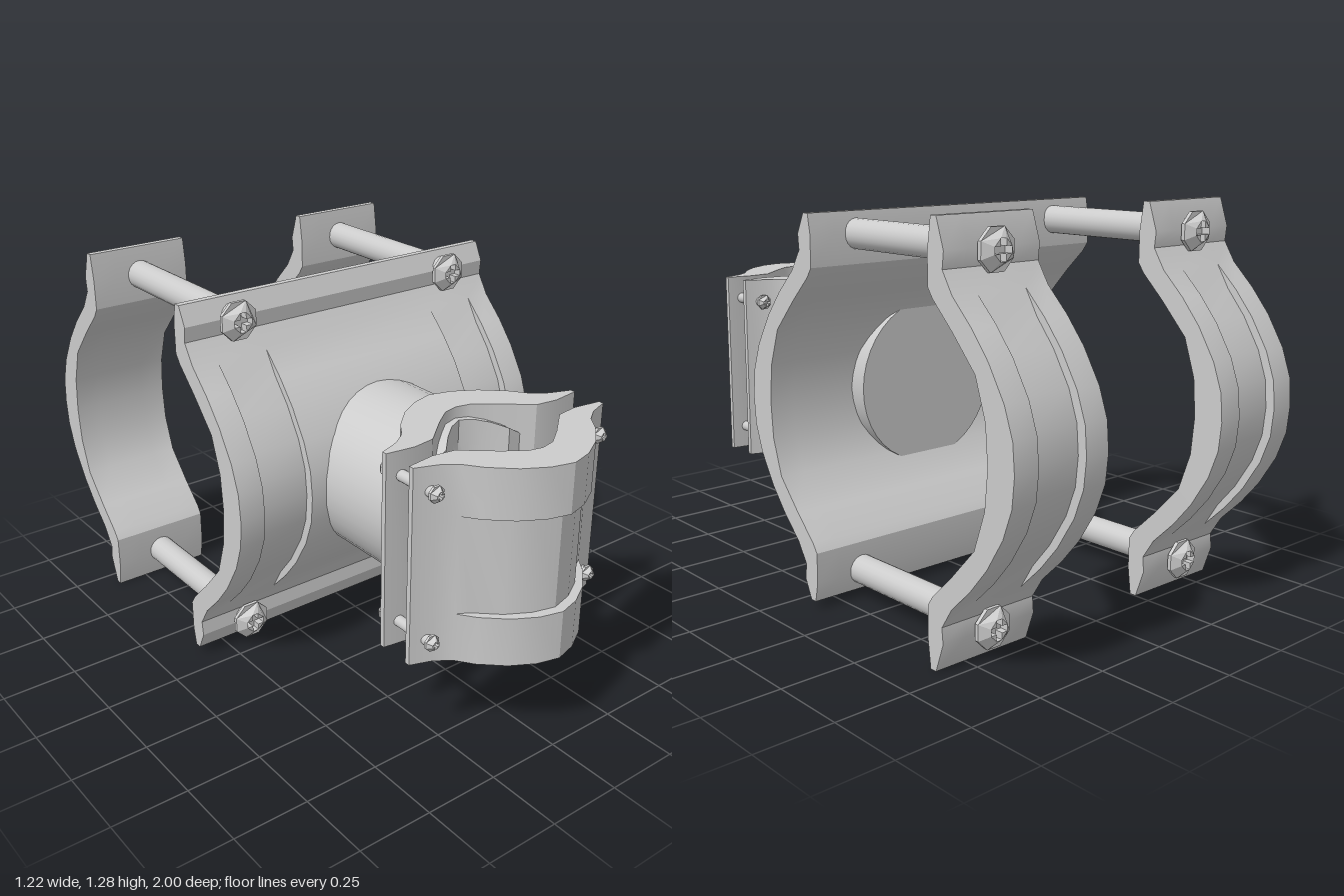
import * as THREE from 'three';
import { mergeGeometries, toCreasedNormals } from 'three/addons/utils/BufferGeometryUtils.js';

const MID = 0.642; // height of both clamp centres
const grey = new THREE.MeshStandardMaterial({ color: 0xcccccc, side: THREE.DoubleSide });

function add(group, name, geometry, x = 0, y = 0, z = 0) {
  const mesh = new THREE.Mesh(geometry, grey);
  mesh.name = name;
  mesh.position.set(x, y, z);
  group.add(mesh);
  return mesh;
}

// Half profiles as [span, outward] points, centre to tip (outer) and tip to centre (inner)
const bigProfile = (tip) => ({
  outer: [[0, 0.22], [0.09, 0.212], [0.18, 0.18], [0.28, 0.12], [0.36, 0.055], [0.435, -0.02],
    [0.5, -0.06], [0.55, -0.055], [tip, -0.085]],
  inner: [[tip, -0.108], [0.55, -0.12], [0.45, -0.12], [0.42, -0.1], [0.34, -0.02], [0.24, 0.07],
    [0.12, 0.11], [0, 0.12]],
  grooveEnd: 0.43,
});
const smallProfile = {
  outer: [[0, 0.998], [0.075, 0.978], [0.15, 0.935], [0.22, 0.87], [0.26, 0.815], [0.31, 0.78], [0.38, 0.755]],
  inner: [[0.38, 0.738], [0.286, 0.725], [0.21, 0.735], [0.115, 0.815], [0.05, 0.862], [0, 0.873]],
  grooveEnd: 0.25,
};

// One slice of a clamp; inset sinks the bulged outside to form a groove
function slice({ outer, inner, grooveEnd }, from, to, inset) {
  const half = outer.map(([u, w]) => [u, u < grooveEnd ? w - inset : w]).concat(inner);
  const mirrored = half.slice(1, -1).reverse().map(([u, w]) => [-u, w]);
  // outer tip to tip, then the inside back again
  const n = outer.length;
  const loop = [...half, ...mirrored];
  const shape = new THREE.Shape(loop.map(([u, w]) => new THREE.Vector2(u, w)));
  const g = new THREE.ExtrudeGeometry(shape, { depth: to - from, bevelEnabled: false, steps: 1 });
  g.translate(0, 0, from);
  return g;
}

// Clamp half made of [from, to, inset] slices; flip turns its bulge to the back
function clamp(profile, slices, flip, upright) {
  const g = mergeGeometries(slices.map(([a, b, inset]) => slice(profile, a, b, inset)));
  g.rotateX(flip ? -Math.PI / 2 : Math.PI / 2);
  if (upright) g.rotateZ(Math.PI / 2);
  return toCreasedNormals(g, 0.5);
}

// Domed eight-sided head with a cross recess, facing +z
function headGeometry(r, depth) {
  const shape = new THREE.Shape();
  for (let i = 0; i < 8; i++) {
    const a = (i + 0.5) * Math.PI / 4;
    shape[i ? 'lineTo' : 'moveTo'](r * Math.cos(a), r * Math.sin(a));
  }
  const l = r * 0.48, s = r * 0.16;
  const cross = [[l, s], [s, s], [s, l], [-s, l], [-s, s], [-l, s], [-l, -s], [-s, -s],
    [-s, -l], [s, -l], [s, -s], [l, -s]];
  shape.holes.push(new THREE.Path(cross.map(([x, y]) => new THREE.Vector2(x, y))));
  const g = new THREE.ExtrudeGeometry(shape, { depth, bevelEnabled: false });
  const p = g.attributes.position;
  for (let i = 0; i < p.count; i++) {
    if (p.getZ(i) > 0 && Math.hypot(p.getX(i), p.getY(i)) > r * 0.8) p.setZ(i, depth * 0.35);
  }
  g.computeVertexNormals();
  return g;
}

// Bolt along z with a head at both ends
function bolt(name, shaftR, headR, headDepth, front, back) {
  const group = new THREE.Group();
  group.name = name;
  const a = front - headDepth * 0.8, b = back + headDepth * 0.8;
  const shaft = new THREE.CylinderGeometry(shaftR, shaftR, a - b, 20).rotateX(Math.PI / 2);
  add(group, 'shaft', shaft, 0, 0, (a + b) / 2);
  const head = headGeometry(headR, headDepth);
  add(group, 'frontHead', head, 0, 0, front - headDepth);
  add(group, 'backHead', head, 0, 0, back + headDepth).rotation.y = Math.PI;
  return group;
}

export function createModel() {
  const model = new THREE.Group();

  // Large saddle with two grooves
  const saddleSlices = [[-0.608, -0.52, 0], [-0.52, -0.34, 0.03], [-0.34, 0.34, 0],
    [0.34, 0.52, 0.03], [0.52, 0.608, 0]];
  add(model, 'largeSaddle', clamp(bigProfile(0.613), saddleSlices, false, true), 0, MID, 0);

  // Two rear straps, each with one groove
  const strapSlices = [[-0.178, -0.09, 0], [-0.09, 0.09, 0.03], [0.09, 0.178, 0]];
  const strap = clamp(bigProfile(0.64), strapSlices, true, true);
  for (const side of [-1, 1]) {
    add(model, side > 0 ? 'leftStrap' : 'rightStrap', strap, side * 0.43, MID, -0.78);
  }

  // Small pipe clamp: grooved front half and plain rear half
  const smallSlices = [[-0.322, -0.16, 0], [-0.16, 0.16, 0.032], [0.16, 0.322, 0]];
  add(model, 'smallClampFront', clamp(smallProfile, smallSlices, false, false), 0, MID, 0);
  add(model, 'smallClampBack', clamp(smallProfile, [[-0.322, 0.322, 0]], true, false), 0, MID, 1.375);

  // Round neck joining both clamps, its front end hollowed to suit the pipe
  const profile = [[0, 0.055], [0.285, 0.055], [0.285, 0.6], [0.22, 0.6], [0.16, 0.6], [0.1, 0.6], [0.05, 0.6], [0, 0.6]];
  const neck = new THREE.LatheGeometry(profile.map(([r, h]) => new THREE.Vector2(r, h)), 40);
  const p = neck.attributes.position;
  for (let i = 0; i < p.count; i++) {
    if (p.getY(i) > 0.4) p.setY(i, 0.52 + 0.09 * Math.min(1, (Math.abs(p.getX(i)) / 0.13) ** 1.5));
  }
  neck.rotateX(Math.PI / 2);
  add(model, 'neck', toCreasedNormals(neck, 0.6), 0, MID, 0);

  // Bolts at the four corners of each clamp
  for (const sx of [-1, 1]) {
    for (const sy of [-1, 1]) {
      const large = bolt('largeBolt', 0.048, 0.067, 0.036, -0.004, -0.766);
      large.position.set(sx * 0.43, MID + sy * 0.543, 0);
      const small = bolt('smallBolt', 0.018, 0.027, 0.025, 0.815, 0.562);
      small.position.set(sx * 0.328, MID + sy * 0.243, 0);
      model.add(large, small);
    }
  }
  return model;
}
